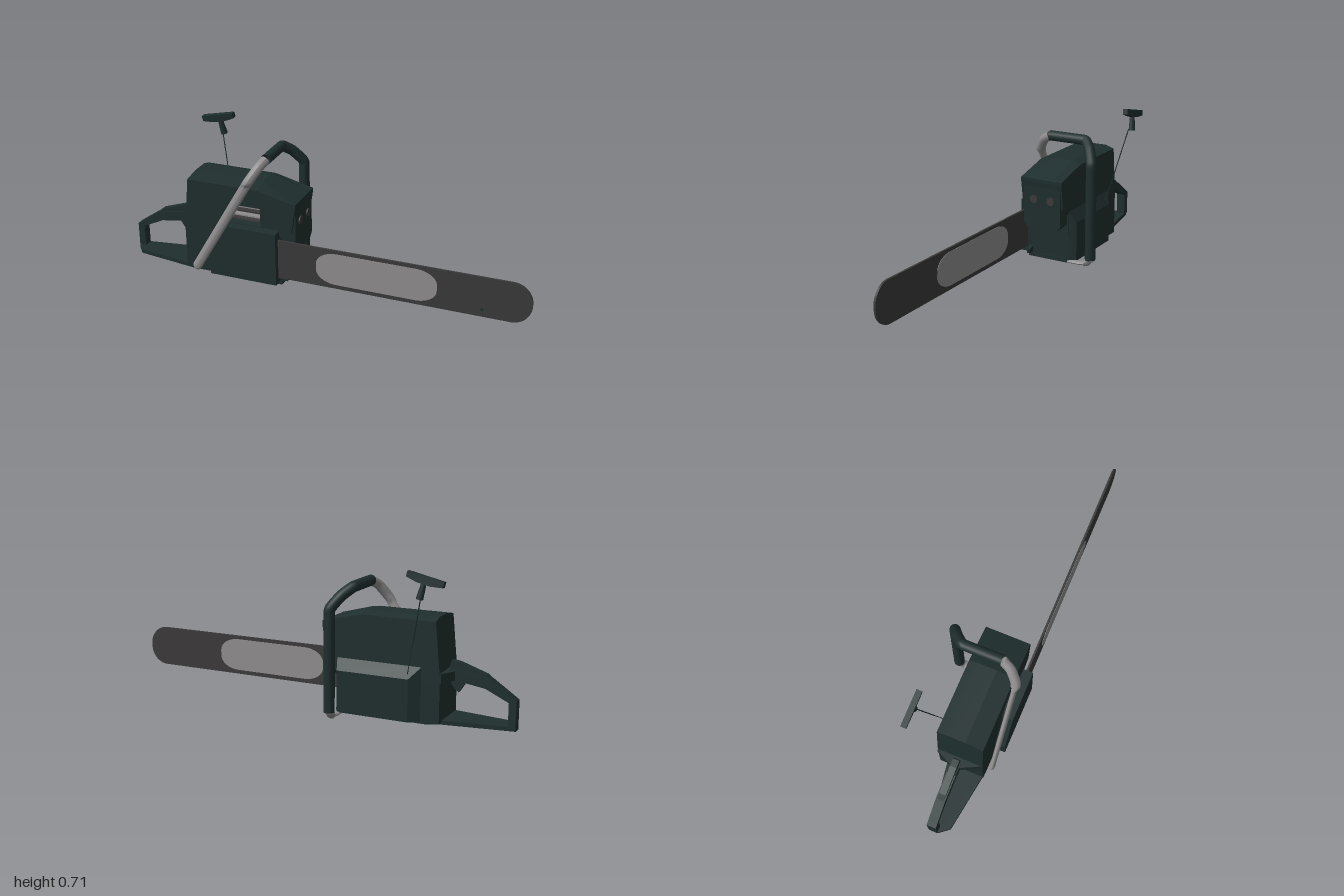
import * as THREE from 'three';

const mat = (name, color) => {
  const m = new THREE.MeshStandardMaterial({ color, side: THREE.DoubleSide });
  m.name = name;
  return m;
};

export function createModel() {
  const root = new THREE.Group();
  root.name = 'chainsaw';
  const dark = mat('dark green casing', 0x1f2e2e);
  const steel = mat('dark steel', 0x3b3939);
  const silver = mat('silver metal', 0x8f8d8d);

  const add = (name, geo, material, parent = root) => {
    const mesh = new THREE.Mesh(geo, material);
    mesh.name = name;
    parent.add(mesh);
    return mesh;
  };
  const shapeOf = pts => new THREE.Shape(pts.map(p => new THREE.Vector2(...p)));
  // Side profile (point list or Shape) extruded between two z positions
  const slab = (outline, z0, z1) => {
    const s = Array.isArray(outline) ? shapeOf(outline) : outline;
    return new THREE.ExtrudeGeometry(s, { depth: z1 - z0, bevelEnabled: false, curveSegments: 12 }).translate(0, 0, z0);
  };
  // Ground plan extruded between two heights, points are [x, z]
  const plan = (pts, y0, y1) =>
    slab(pts.map(([x, z]) => [x, -z]), y0, y1).rotateX(-Math.PI / 2);
  const box = (x0, x1, y0, y1, z0, z1) =>
    new THREE.BoxGeometry(x1 - x0, y1 - y0, z1 - z0).translate((x0 + x1) / 2, (y0 + y1) / 2, (z0 + z1) / 2);
  const pipe = (pts, r, segs = 60) => {
    const curve = new THREE.CatmullRomCurve3(pts.map(p => new THREE.Vector3(...p)), false, 'catmullrom', 0.08);
    return new THREE.TubeGeometry(curve, segs, r, 12);
  };
  const warp = (geo, rule) => {
    const p = geo.attributes.position, v = new THREE.Vector3();
    for (let i = 0; i < p.count; i++) {
      rule(v.fromBufferAttribute(p, i));
      p.setXYZ(i, v.x, v.y, v.z);
    }
    geo.computeVertexNormals();
    return geo;
  };
  const roundedRect = (x0, x1, y0, y1, rx, ry) => {
    const s = new THREE.Shape();
    s.moveTo(x0 + rx, y0).lineTo(x1 - rx, y0);
    s.bezierCurveTo(x1 - rx * 0.45, y0, x1, y0 + ry * 0.45, x1, y0 + ry);
    s.lineTo(x1, y1 - ry);
    s.bezierCurveTo(x1, y1 - ry * 0.45, x1 - rx * 0.45, y1, x1 - rx, y1);
    s.lineTo(x0 + rx, y1);
    s.bezierCurveTo(x0 + rx * 0.45, y1, x0, y1 - ry * 0.45, x0, y1 - ry);
    s.lineTo(x0, y0 + ry);
    s.bezierCurveTo(x0, y0 + ry * 0.45, x0 + rx * 0.45, y0, x0 + rx, y0);
    return s;
  };

  // Engine housing: three slabs, roof dropping towards both sides
  const profile = [[-0.68, 0.015], [-0.68, 0.22], [-0.655, 0.485], [-0.3, 0.485], [-0.11, 0.425],
    [-0.11, 0.41], [-0.13, 0.28], [-0.185, 0.25], [-0.185, 0.015]];
  const dropRoof = zEdge => v => { if (v.y > 0.45 && Math.abs(v.z - zEdge) < 0.001) v.y -= 0.014; };
  add('housingCentre', slab(profile, -0.02, 0.07), dark);
  add('housingStarterSide', warp(slab(profile, -0.065, -0.02), dropRoof(-0.065)), dark);
  const open = shapeOf(profile);
  open.holes.push(new THREE.Path([[-0.46, 0.288], [-0.4, 0.38], [-0.285, 0.38], [-0.285, 0.288]]
    .map(p => new THREE.Vector2(...p))));
  add('housingBarSide', warp(slab(open, 0.07, 0.155), dropRoof(0.155)), dark);

  // Cylinder fins inside the side opening
  for (let i = 0; i < 4; i++) {
    const y = 0.298 + i * 0.022;
    add('coolingFin', box(-0.44 + i * 0.012, -0.295, y, y + 0.008, 0.07, 0.135), i % 2 ? silver : steel);
  }

  // Muffler with chamfered corners and two outlets
  const c = 0.02, z0 = -0.056, z1 = 0.142, y0 = 0.18, y1 = 0.412;
  const muffler = slab([[z0 + c, y0], [z1 - c, y0], [z1, y0 + c], [z1, y1 - c], [z1 - c, y1],
    [z0 + c, y1], [z0, y1 - c], [z0, y0 + c]].map(([z, y]) => [-z, y]), -0.21, -0.114);
  add('muffler', muffler.rotateY(Math.PI / 2), dark);
  for (const z of [0.085, -0.006]) {
    const port = add('exhaustPort', new THREE.CylinderGeometry(0.02, 0.02, 0.008, 16), steel);
    port.rotation.z = Math.PI / 2;
    port.position.set(-0.112, 0.324, z);
  }

  // Starter cover bulging from the back side
  const starter = box(-0.6, -0.185, 0.015, 0.27, -0.1, -0.06);
  add('starterCover', warp(starter.toNonIndexed(), v => {
    if (v.z > -0.08) return;
    v.x = v.x < -0.4 ? -0.545 : -0.2;
    if (v.y > 0.1) v.y = 0.21;
  }), dark);

  // Clutch cover over the bar root
  add('clutchCover', slab([[-0.53, 0.022], [-0.19, 0.022], [-0.19, 0.285], [-0.435, 0.285], [-0.53, 0.125]],
    0.15, 0.203), dark);
  add('bumperSpike', slab([[-0.2, 0.02], [-0.155, 0.025], [-0.15, 0.045], [-0.2, 0.06]], 0.135, 0.15), dark);

  // Base plate and rear handle loop
  add('basePlate', plan([[-1, 0.02], [-0.68, -0.03], [-0.62, -0.06], [-0.18, -0.06], [-0.18, 0.155],
    [-0.65, 0.155], [-0.96, 0.11], [-1, 0.06]], 0.005, 0.024), dark);
  add('rearHandle', slab([[-1, 0.02], [-0.966, 0.02], [-0.966, 0.13], [-0.86, 0.18], [-0.76, 0.195],
    [-0.67, 0.19], [-0.67, 0.245], [-0.76, 0.245], [-0.88, 0.222], [-1, 0.14]], 0.015, 0.06), dark);
  add('handleShoulder', plan([[-0.72, 0.01], [-0.685, -0.064], [-0.64, -0.064], [-0.64, 0.154],
    [-0.68, 0.145], [-0.72, 0.065]], 0.2, 0.243), dark);
  add('safetyLever', slab([[-0.885, 0.22], [-0.73, 0.245], [-0.69, 0.25], [-0.7, 0.287], [-0.735, 0.282],
    [-0.86, 0.24]], 0.022, 0.054), dark);
  add('trigger', slab([[-0.77, 0.2], [-0.735, 0.145], [-0.715, 0.16], [-0.685, 0.2]], 0.028, 0.048), dark);

  // Guide bar with a bright panel on both faces
  add('guideBar', slab(roundedRect(-0.4, 1, 0.05, 0.245, 0.09, 0.092), 0.165, 0.175), steel);
  const panel = roundedRect(0, 0.575, 0.07, 0.228, 0.1, 0.065);
  add('barPanelFront', slab(panel, 0.175, 0.177), silver);
  add('barPanelBack', slab(panel, 0.163, 0.165), silver);
  add('barHole', slab(roundedRect(0.772, 0.788, 0.08, 0.092, 0.007, 0.005), 0.175, 0.177), dark);

  // Wrap-around front handle: flattened metal leg, padded grip, metal foot
  const leg = pipe([[-0.615, 0.035, 0.175], [-0.335, 0.51, 0.175], [-0.297, 0.575, 0.135], [-0.28, 0.6, 0.09]], 0.023);
  add('handleLeg', warp(leg, v => { if (v.y < 0.5) v.z = 0.175 + (v.z - 0.175) * 0.55; }), silver);
  const end = add('handleLegEnd', new THREE.SphereGeometry(0.023, 12, 8), silver);
  end.position.set(-0.615, 0.035, 0.175);
  end.scale.z = 0.55;
  add('handleGrip', pipe([[-0.28, 0.6, 0.09], [-0.28, 0.6, -0.1], [-0.245, 0.567, -0.14],
    [-0.2, 0.5, -0.175], [-0.2, 0.035, -0.175]], 0.0255, 90), dark);
  const foot = pipe([[-0.2, 0.04, -0.175], [-0.2, 0.02, -0.155], [-0.2, 0.01, -0.12], [-0.2, 0.01, -0.02]], 0.02);
  add('handleFoot', warp(foot, v => { if (v.z > -0.15) v.y = 0.01 + (v.y - 0.01) * 0.45; }), silver);

  // Pull starter: cord, stem and T grip
  add('starterCord', pipe([[-0.535, 0.225, -0.083], [-0.62, 0.59, -0.162]], 0.0025, 2), dark);
  const pull = new THREE.Group();
  pull.name = 'pullGrip';
  pull.position.set(-0.645, 0.672, -0.171);
  pull.rotation.set(0.1, 0, 0.22);
  root.add(pull);
  add('pullBar', slab([[-0.085, -0.012], [-0.03, -0.022], [0.03, -0.022], [0.085, -0.012], [0.085, 0.014],
    [-0.085, 0.014]], -0.013, 0.013), dark, pull);
  const stem = add('pullStem', new THREE.CylinderGeometry(0.012, 0.017, 0.075, 8), dark, pull);
  stem.position.set(0.004, -0.052, 0);

  return root;
}
